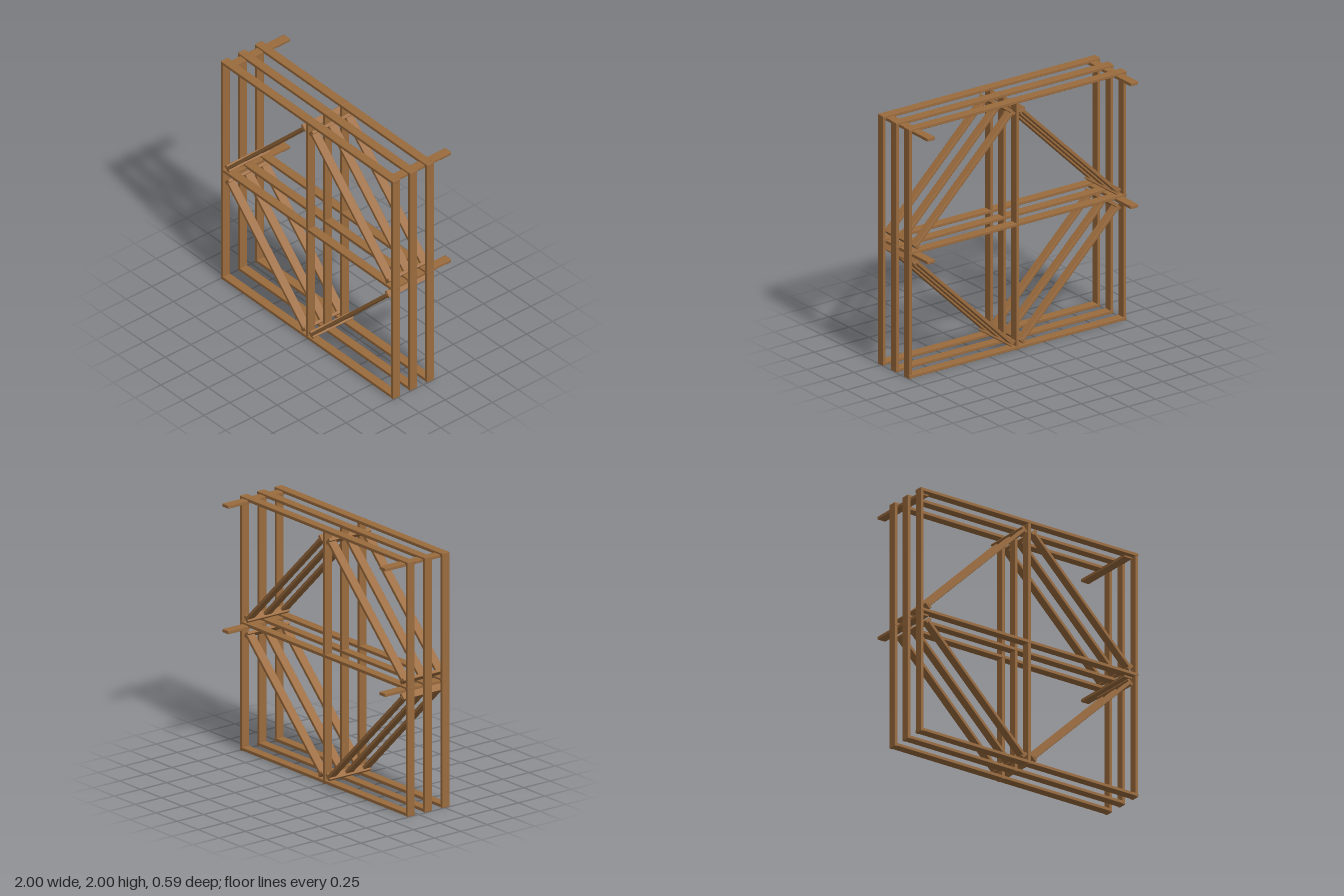
import * as THREE from 'three';
import { RoundedBoxGeometry } from 'three/addons/geometries/RoundedBoxGeometry.js';

export function createModel() {
  const model = new THREE.Group();
  model.name = 'timberFrame';
  const wood = new THREE.MeshStandardMaterial({ color: 0x9b6b3d });
  wood.name = 'brown wood';

  const T = 0.025; // plank thickness
  const W = 0.07;  // plank width
  const rows = [0.26, 0.094, -0.07];

  function plank(name, size, pos, angle = 0) {
    const mesh = new THREE.Mesh(new RoundedBoxGeometry(...size, 1, 0.003), wood);
    mesh.name = name;
    mesh.position.set(...pos);
    mesh.rotation.z = angle;
    model.add(mesh);
  }

  // Diagonal ends on the left side: [outer x, y, inner x, y]
  const diagonals = [
    [0.927, 1.048, 0.045, 1.912],
    [0.927, 0.925, 0.045, 0.062],
  ];

  // Three identical frames, one behind the other
  for (const z of rows) {
    for (const y of [0.0165, 1.003, 1.986]) plank('rail', [1.998, T, W], [0, y, z]);
    for (const x of [-0.986, 0, 0.986]) plank('post', [T, 2, W - 0.002], [x, 1, z]);
  }

  for (const side of [-1, 1]) {
    for (const [x0, y0, x1, y1] of diagonals) {
      const dx = side * (x1 - x0), dy = y1 - y0;
      const angle = Math.atan2(dy, dx);
      const length = Math.hypot(dx, dy);
      // Braces in each frame
      for (const z of rows) {
        plank('brace', [length, T, W], [side * (x0 + x1) / 2, (y0 + y1) / 2, z], angle);
      }
      // Cross battens joining the brace ends from front to back
      for (const [x, y] of [[x0, y0], [x1, y1]]) {
        plank('crossBatten', [T, 0.056, 0.396], [side * x, y, 0.095], angle);
      }
    }
    // Arms reaching out behind the frames
    for (const y of [0.987, 1.972]) {
      plank('rearArm', [W, T, 0.55], [side * 0.935, y, -0.02]);
    }
  }
  return model;
}
